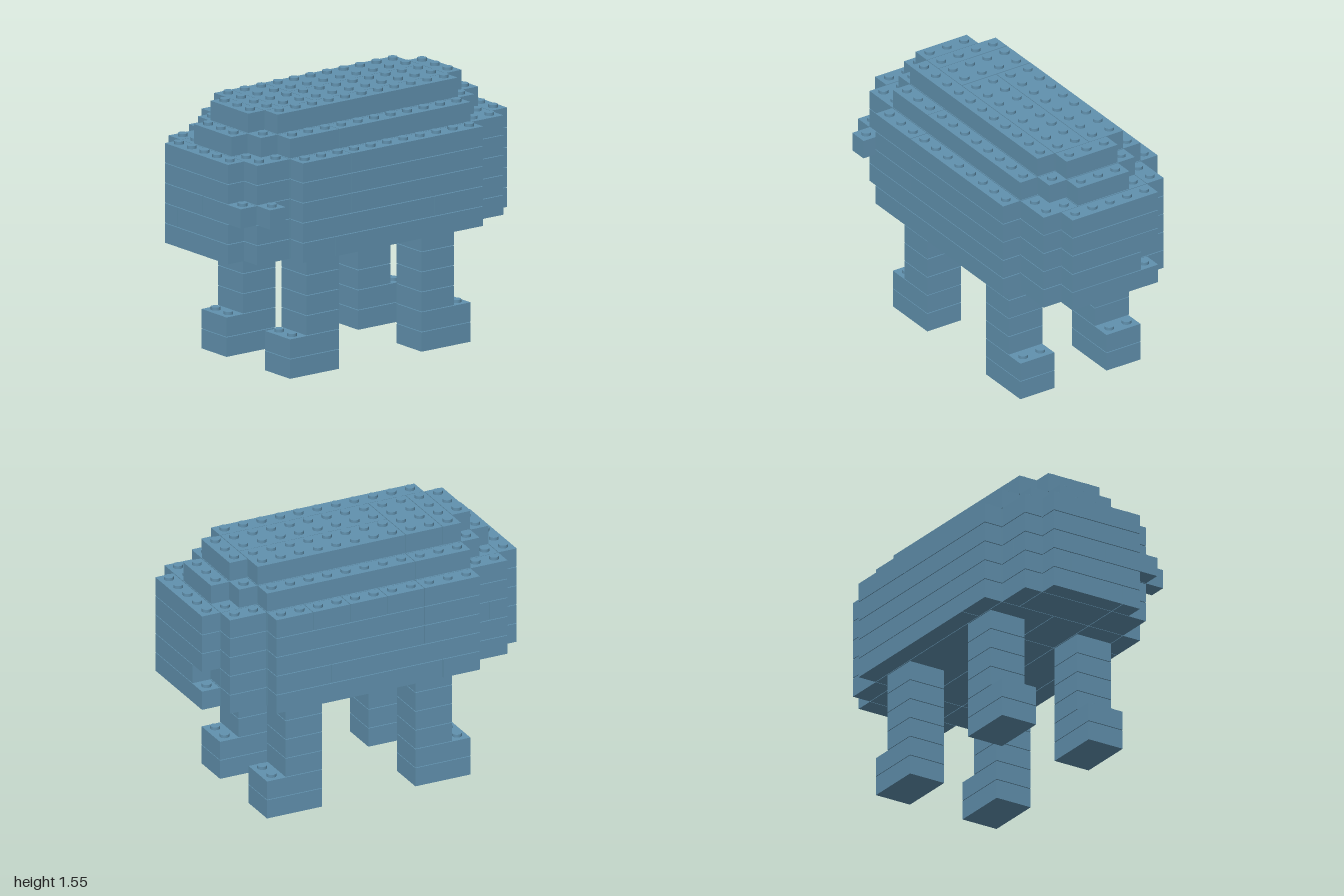
import * as THREE from 'three';
import { mergeGeometries } from 'three/addons/utils/BufferGeometryUtils.js';

const P = 2.004 / 17;   // stud pitch, also the brick height
const GAP = 0.004;      // seam between bricks
const STUD_R = 0.028, STUD_H = 0.018;
const X0 = -(9 * P - GAP) / 2, Z0 = -1;

// A brick covers cells x [a, b), z [c, d) on one layer.
const bricks = [];
const filled = new Set();
const key = (x, y, z) => `${x},${y},${z}`;

function brick(part, layer, a, b, c, d) {
  bricks.push({ part, layer, a, b, c, d });
  for (let x = a; x < b; x++) for (let z = c; z < d; z++) filled.add(key(x, layer, z));
}

// A run of bricks split along z at the listed rows
function column(part, layer, a, b, rows) {
  for (let i = 0; i + 1 < rows.length; i++) brick(part, layer, a, b, rows[i], rows[i + 1]);
}

function layLegs() {
  for (const [side, x] of [['right', 1], ['left', 6]]) {
    for (let y = 0; y < 6; y++) {
      const foot = y < 2 ? 1 : 0;
      brick(`${side}FrontLeg`, y, x, x + 2, 11, 13 + foot);
      brick(`${side}BackLeg`, y, x, x + 2, 4 - foot, 6);
    }
  }
}

function layBody() {
  const sideSeam = { 6: 12, 7: 6, 8: 11, 9: 11, 10: 11 };
  const frontSeam = { 6: 6, 7: 3, 8: 5, 9: 6 };
  for (let y = 6; y < 11; y++) {
    // wide middle
    column('body', y, 0, 1, y === 10 ? [3, 5, 7, 9, 11, 14] : [3, sideSeam[y], 14]);
    for (const [a, b] of [[1, 4], [4, 6], [6, 8]]) column('body', y, a, b, [3, 11, 14]);
    column('body', y, 8, 9, [3, sideSeam[y], 14]);
    // stepped ends
    for (const [a, b] of [[1, 2], [2, 6], [6, 8]]) {
      brick('body', y, a, b, 1, 3);
      if (y !== 8) brick('body', y, a, b, 14, 16);
    }
    // back face, with one brick missing low on the right
    brick('back', y, y === 7 ? 3 : 2, 7, 0, 1);
    // front face
    if (y === 8) {
      brick('body', y, 1, 8, 14, 15);
      brick('body', y, 1, 5, 15, 16);
      brick('sideKnob', y, 5, 9, 15, 16);
      brick('front', y, 2, 5, 16, 17);
      brick('frontKnob', y, 5, 8, 16, 17);
    } else if (frontSeam[y]) {
      brick('front', y, 2, frontSeam[y], 16, 17);
      brick('front', y, frontSeam[y], 7, 16, 17);
    } else {
      brick('front', y, 2, 7, 16, 17);
    }
  }
}

function layTop() {
  // lower step of the rounded top
  for (const [a, b] of [[1, 2], [2, 4], [4, 7], [7, 8]]) column('upperBack', 11, a, b, [3, 11, 14]);
  for (const z of [2, 14]) brick('upperBack', 11, 2, 7, z, z + 1);
  for (const z of [1, 15]) brick('upperBack', 11, 3, 6, z, z + 1);
  // ridge
  column('ridge', 12, 2, 4, [3, 11]);
  column('ridge', 12, 4, 6, [3, 11]);
  column('ridge', 12, 2, 6, [11, 13, 14]);
  column('ridge', 12, 6, 7, [3, 14]);
  for (const z of [2, 14]) brick('ridge', 12, 3, 6, z, z + 1);
}

function brickGeometry({ layer, a, b, c, d }) {
  const w = (b - a) * P - GAP, h = P - GAP, l = (d - c) * P - GAP;
  const y = layer * P;
  const pieces = [new THREE.BoxGeometry(w, h, l)
    .translate(X0 + a * P + w / 2, y + h / 2, Z0 + c * P + l / 2)];
  // studs only where nothing sits on top
  for (let x = a; x < b; x++) {
    for (let z = c; z < d; z++) {
      if (filled.has(key(x, layer + 1, z))) continue;
      pieces.push(new THREE.CylinderGeometry(STUD_R, STUD_R, STUD_H, 16)
        .translate(X0 + (x + 0.5) * P - GAP / 2, y + h + STUD_H / 2, Z0 + (z + 0.5) * P - GAP / 2));
    }
  }
  return mergeGeometries(pieces);
}

export function createModel() {
  bricks.length = 0;
  filled.clear();
  layLegs();
  layBody();
  layTop();

  const blue = new THREE.MeshStandardMaterial({ name: 'dusty blue', color: 0x6191ae });
  const model = new THREE.Group();
  model.name = 'brickAnimal';
  const parts = {};
  for (const b of bricks) {
    if (!parts[b.part]) {
      parts[b.part] = new THREE.Group();
      parts[b.part].name = b.part;
      model.add(parts[b.part]);
    }
    const mesh = new THREE.Mesh(brickGeometry(b), blue);
    mesh.name = `${b.part}Brick`;
    parts[b.part].add(mesh);
  }
  return model;
}
